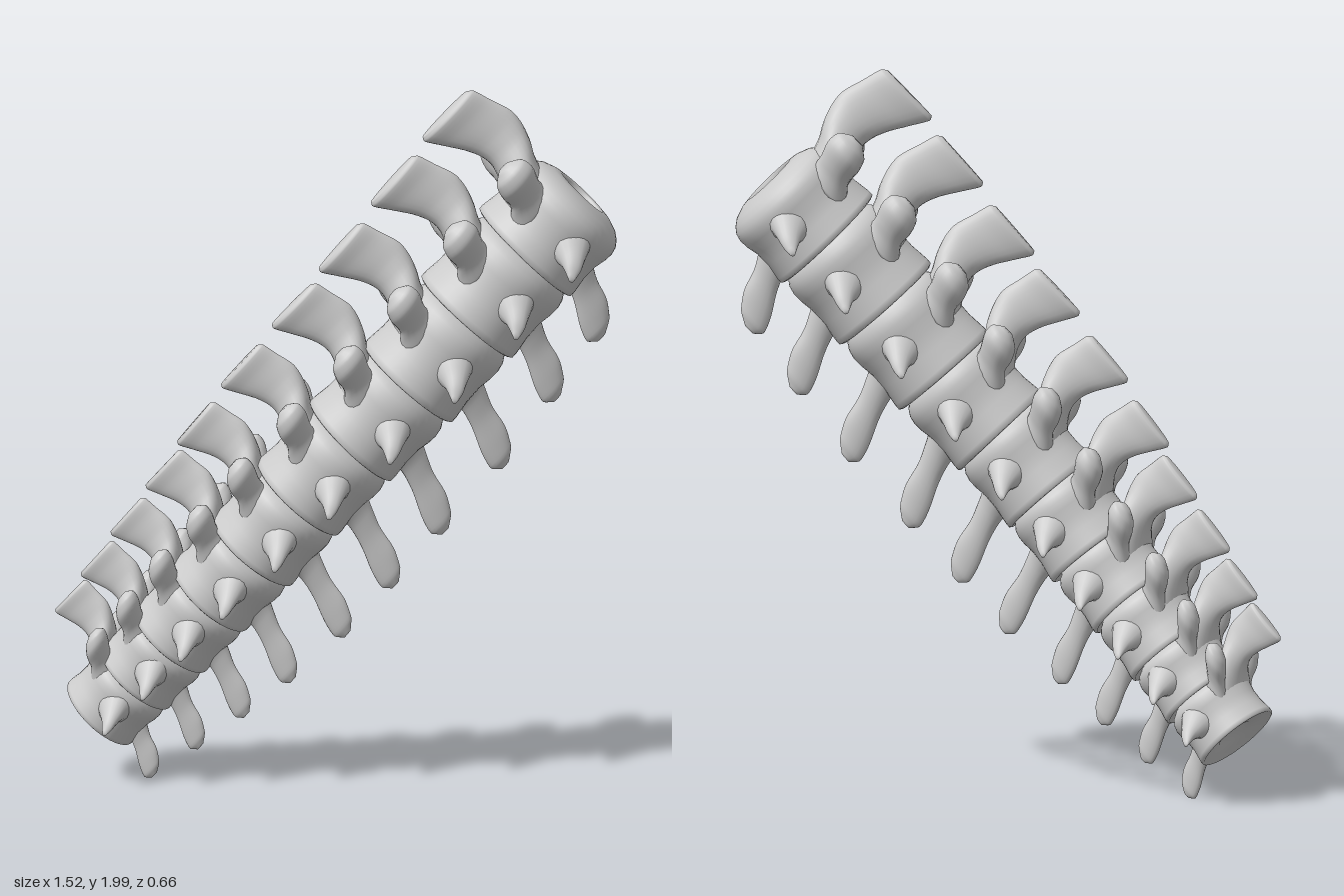
import * as THREE from 'three';

// joint centres along the curved column, from the small lower end to the upper end
const JOINTS = [
  [-0.605, 0.19, -0.182], [-0.512, 0.30, -0.135], [-0.42, 0.415, -0.092], [-0.316, 0.546, -0.045],
  [-0.204, 0.681, 0.003], [-0.082, 0.836, 0.042], [0.06, 1.0, 0.074], [0.217, 1.165, 0.094],
  [0.379, 1.35, 0.105], [0.54, 1.53, 0.11], [0.685, 1.68, 0.112],
].map((p) => new THREE.Vector3(...p));

const material = new THREE.MeshStandardMaterial({ color: 0xcccccc });

// smooth loft along x; each section is [x, y, z, half width in y, half width in z]
function loft(sections, steps = 22, sides = 18) {
  const centres = new THREE.CatmullRomCurve3(sections.map((s) => new THREE.Vector3(s[0], s[1], s[2])));
  const widths = new THREE.CatmullRomCurve3(sections.map((s) => new THREE.Vector3(s[3], s[4], 0)));
  const pos = [];
  const index = [];
  const flip = sections[sections.length - 1][0] < sections[0][0];
  const tri = (a, b, c) => (flip ? index.push(a, c, b) : index.push(a, b, c));
  for (let i = 0; i <= steps; i++) {
    const c = centres.getPoint(i / steps);
    const w = widths.getPoint(i / steps);
    for (let j = 0; j < sides; j++) {
      const a = (j / sides) * Math.PI * 2;
      pos.push(c.x, c.y + Math.cos(a) * w.x, c.z + Math.sin(a) * w.y);
      if (i === steps) continue;
      const p = i * sides + j;
      const q = i * sides + ((j + 1) % sides);
      tri(p, q, p + sides);
      tri(q, q + sides, p + sides);
    }
  }
  // end caps
  const first = pos.length / 3;
  const a = centres.getPoint(0);
  const b = centres.getPoint(1);
  pos.push(a.x, a.y, a.z, b.x, b.y, b.z);
  for (let j = 0; j < sides; j++) {
    const k = (j + 1) % sides;
    tri(first, k, j);
    tri(first + 1, steps * sides + j, steps * sides + k);
  }
  const g = new THREE.BufferGeometry();
  g.setAttribute('position', new THREE.Float32BufferAttribute(pos, 3));
  g.setIndex(index);
  g.computeVertexNormals();
  return g;
}

function add(group, name, geometry) {
  const mesh = new THREE.Mesh(geometry, material);
  mesh.name = name;
  group.add(mesh);
  return mesh;
}

// spool body with a hollow lower face, a domed upper face and a central pit
function bodyGeometry(length) {
  const r = 0.175;
  const profile = [
    [0, -0.3], [0.4, -0.32], [0.42, -0.4], [0.8, -0.44], [0.95, -0.51], [1, -0.49], [1.0, -0.42],
    [0.96, -0.2], [0.96, 0], [1.0, 0.16], [1.01, 0.28], [0.98, 0.38], [0.91, 0.46], [0.8, 0.53],
    [0.62, 0.585], [0.45, 0.605], [0.39, 0.58], [0.37, 0.32], [0, 0.3],
  ];
  return new THREE.LatheGeometry(profile.map(([x, y]) => new THREE.Vector2(x * r, y * length)), 48);
}

// local frame: x towards the back spine, y along the column, z sideways
// u runs from 0 at the lower end to 1 at the upper end
function createVertebra(length, u) {
  const v = new THREE.Group();
  const lean = 0.3 * Math.pow(1 - u, 1.2);
  const height = 0.94 + 0.06 * u;
  const shear = (list, k) => list.map(([x, y, ...rest]) => [x * height, y + x * height * k, ...rest]);
  add(v, 'vertebralBody', bodyGeometry(length));

  // arch rising into a thin blade that flares at its tip
  add(v, 'dorsalSpine', loft(shear([
    [0.09, 0, 0, 0.09, 0.135], [0.13, 0.015, 0, 0.083, 0.125], [0.175, 0.045, 0, 0.068, 0.105],
    [0.215, 0.07, 0, 0.066, 0.078], [0.26, 0.084, 0, 0.07, 0.049], [0.31, 0.082, 0, 0.08, 0.033],
    [0.38, 0.055, 0, 0.09, 0.025], [0.43, 0.035, 0, 0.098, 0.027], [0.445, 0.03, 0, 0.088, 0.017],
  ], lean), 32, 24));

  // leaf-shaped ventral blade, leaning down the column
  const reach = 0.33 + 0.095 * Math.sin(Math.PI * u);
  add(v, 'ventralSpine', loft([
    [0.3, -0.02, 0.07, 0.06], [0.45, -0.04, 0.05, 0.034], [0.62, -0.07, 0.045, 0.023],
    [0.8, -0.1, 0.053, 0.021], [0.93, -0.125, 0.046, 0.018], [1.0, -0.135, 0.016, 0.007],
  ].map(([f, y, a, b]) => [-f * reach, y, 0, a, b])));

  for (const side of [-1, 1]) {
    // webbed stalk with a rounded joint knob
    add(v, 'jointKnob', loft(shear([
      [0.09, 0, side * 0.085, 0.08, 0.055], [0.13, 0.015, side * 0.1, 0.063, 0.05],
      [0.16, 0.03, side * 0.122, 0.054, 0.045], [0.2, 0.04, side * 0.14, 0.06, 0.05],
      [0.235, 0.045, side * 0.145, 0.053, 0.043], [0.26, 0.046, side * 0.146, 0.02, 0.016],
    ], lean * 1.8)));
    // hooked sideways horn
    const horn = add(v, 'sideHorn', loft([
      [0.11, 0.02, -side * 0.02, 0.085, 0.08], [0.155, 0.01, -side * 0.035, 0.06, 0.052],
      [0.19, -0.01, -side * 0.055, 0.036, 0.032], [0.215, -0.03, -side * 0.07, 0.022, 0.02],
      [0.23, -0.05, -side * 0.08, 0.008, 0.008],
    ], 18, 16));
    horn.rotation.y = side * Math.PI / 2;
    horn.scale.x = 1.15 - 0.15 * u;
  }
  return v;
}

export function createModel() {
  const spine = new THREE.Group();
  spine.name = 'spine';
  const up = new THREE.Vector3(0, 1, 0.05);
  const count = JOINTS.length - 1;
  for (let i = 0; i < count; i++) {
    const u = i / (count - 1);
    const scale = 0.69 + 0.31 * u;
    const along = JOINTS[i + 1].clone().sub(JOINTS[i]);
    const length = along.length();
    along.normalize();
    const across = new THREE.Vector3().crossVectors(up, along).normalize();
    const back = new THREE.Vector3().crossVectors(along, across);
    const v = createVertebra(length / scale, u);
    v.name = `vertebra${i + 1}`;
    v.quaternion.setFromRotationMatrix(new THREE.Matrix4().makeBasis(back, along, across));
    v.position.copy(JOINTS[i]).lerp(JOINTS[i + 1], 0.5);
    v.scale.setScalar(scale);
    spine.add(v);
  }

  // stand on the ground, centred
  const model = new THREE.Group();
  model.name = 'spineSection';
  model.add(spine);
  const box = new THREE.Box3().setFromObject(spine, true);
  const centre = box.getCenter(new THREE.Vector3());
  spine.position.set(-centre.x, -box.min.y, -centre.z);
  return model;
}
